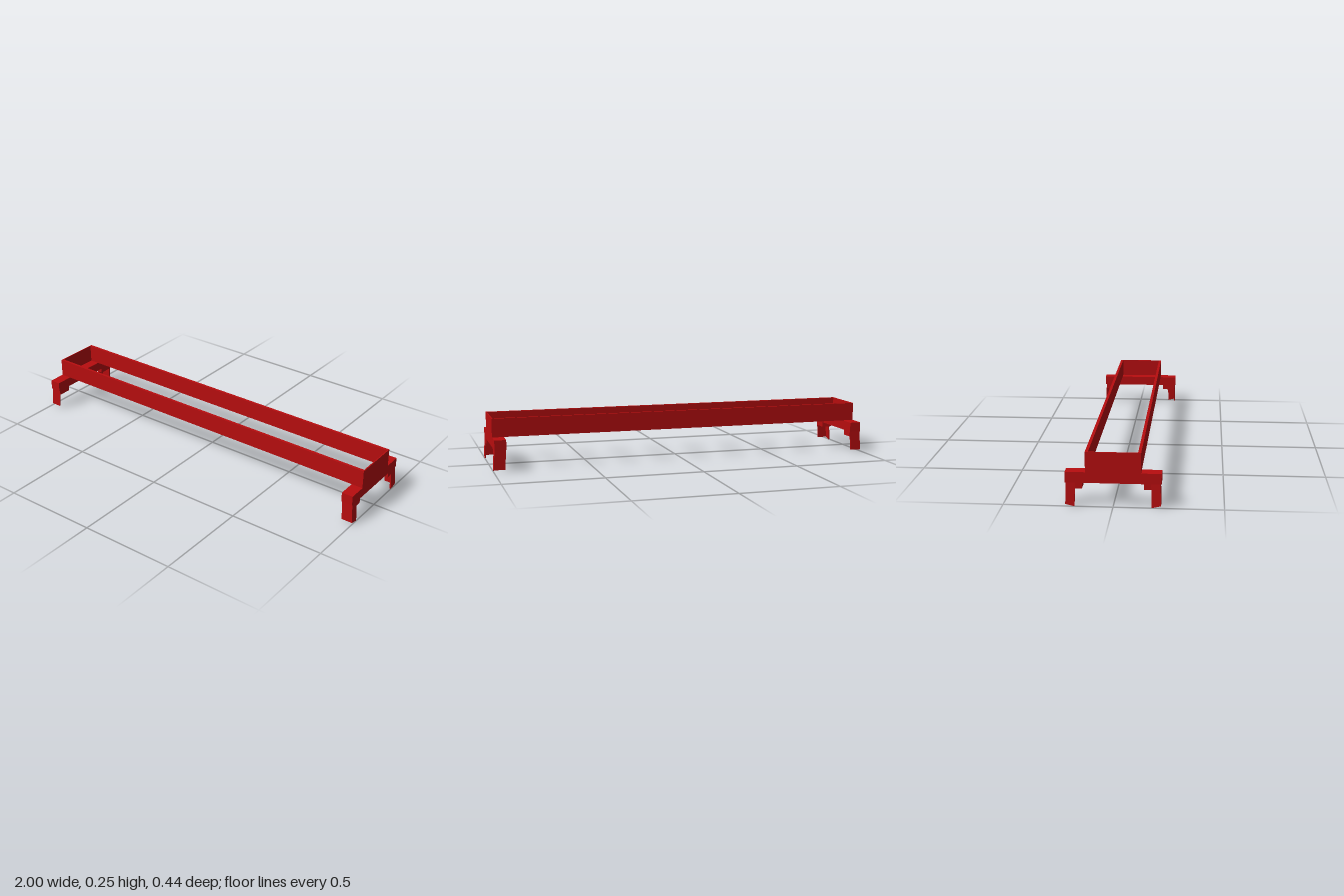
import * as THREE from 'three';

const red = new THREE.MeshStandardMaterial({ color: 0xb80d0f });
red.name = 'red paint';

// Box given by its limits on each axis
function block(name, [x0, x1], [y0, y1], [z0, z1]) {
  const geo = new THREE.BoxGeometry(x1 - x0, y1 - y0, z1 - z0);
  geo.translate((x0 + x1) / 2, (y0 + y1) / 2, (z0 + z1) / 2);
  const mesh = new THREE.Mesh(geo, red);
  mesh.name = name;
  return mesh;
}

// Leg plate whose lower end splays outwards and whose foot may slant along z
function legPlate(name, x, z, splayX, splayZ, footDrop) {
  const top = 0.11, foot = 0.01;
  const mesh = block(name, x, [foot, top], z);
  const p = mesh.geometry.attributes.position;
  for (let i = 0; i < p.count; i++) {
    if (p.getY(i) > 0.06) continue;
    const inner = p.getZ(i) < (z[0] + z[1]) / 2;
    if (inner) p.setY(i, foot - footDrop);
    p.setX(i, p.getX(i) + splayX);
    p.setZ(i, p.getZ(i) + splayZ);
  }
  mesh.geometry.computeVertexNormals();
  return mesh;
}

export function createModel() {
  const model = new THREE.Group();
  model.name = 'rackFrame';

  // Long side rails
  for (const s of [1, -1]) {
    const z = s > 0 ? [0.112, 0.126] : [-0.126, -0.112];
    model.add(block('sideRail', [-0.993, 0.993], [0.16, 0.255], z));
  }

  // End panels and cross beams
  for (const s of [1, -1]) {
    const span = (a, b) => (s > 0 ? [a, b] : [-b, -a]);
    model.add(block('endPanel', span(0.988, 0.994), [0.16, 0.255], [-0.126, 0.126]));
    model.add(block('crossBeam', span(0.935, 0.994), [0.11, 0.16], [-0.218, 0.218]));
  }

  // Four angle-section legs, each with a bracket under the beam
  for (const sx of [1, -1]) {
    for (const sz of [1, -1]) {
      const leg = new THREE.Group();
      leg.name = 'leg';
      leg.add(block('legBracket', [0.936, 0.993], [0.083, 0.11], [0.14, 0.212]));
      leg.add(legPlate('legFrontPlate', [0.936, 0.993], [0.207, 0.213], 0.007, 0.003, 0));
      leg.add(legPlate('legSidePlate', [0.987, 0.993], [0.171, 0.213], 0.007, 0.003, 0.01));
      leg.scale.set(sx, 1, sz);
      model.add(leg);
    }
  }
  return model;
}
